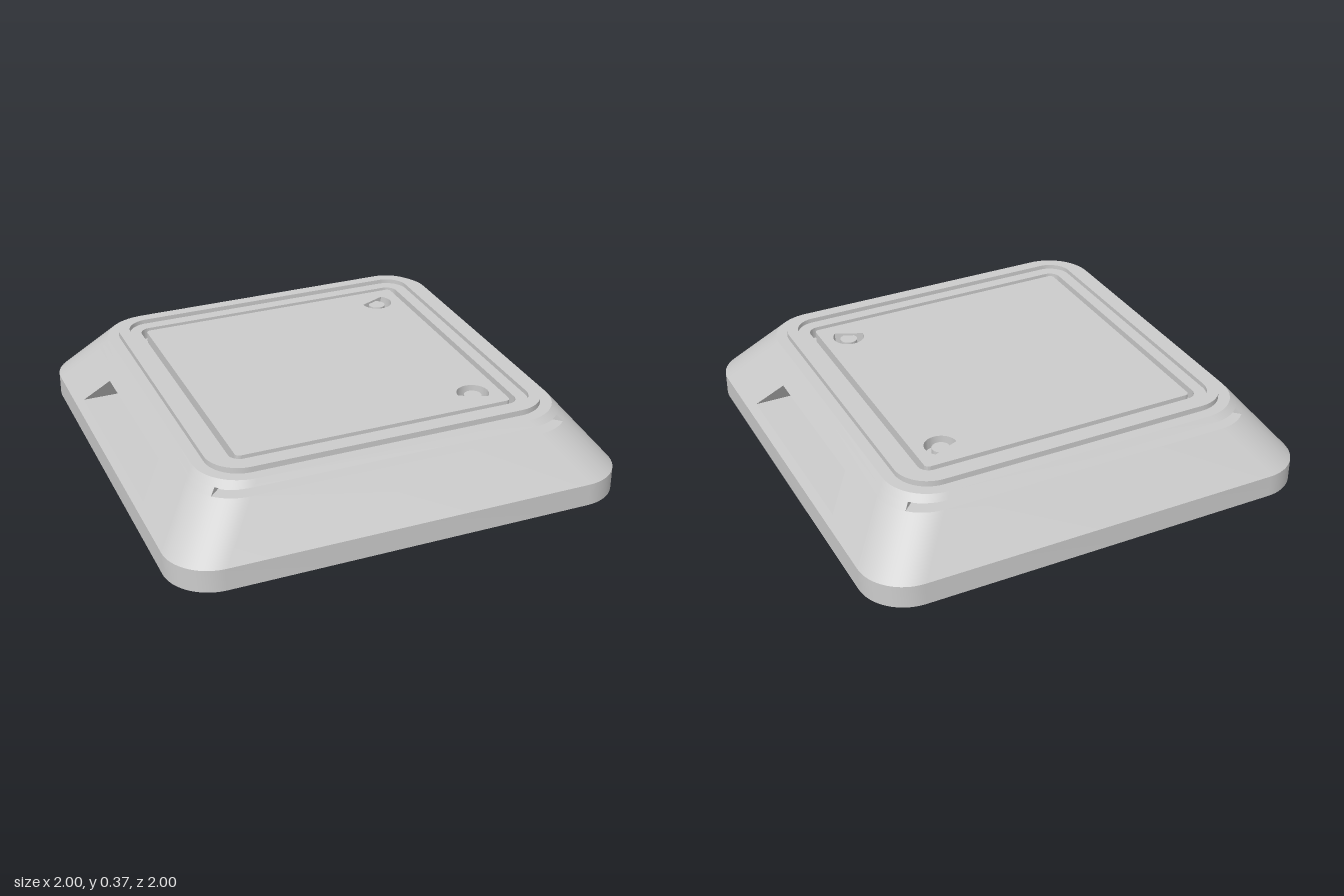
import * as THREE from 'three';
import { toCreasedNormals } from 'three/addons/utils/BufferGeometryUtils.js';

const N = 16;              // segments per rounded corner
const ROW = N + 1;         // points per corner
const COUNT = 4 * ROW;
const material = new THREE.MeshStandardMaterial({ color: 0xcccccc });
const openMaterial = new THREE.MeshStandardMaterial({ color: 0xcccccc, side: THREE.DoubleSide });

// Half width of the sloping side at height y
const slope = (y) => 1 - (y - 0.1) * (0.2 / 0.245);

// Point p on a rounded square with level [half width, corner radius, height]
function point([h, r, y], p) {
  const k = Math.floor((p % COUNT) / ROW);
  const a = (k + ((p % COUNT) % ROW) / N) * Math.PI / 2;
  const sx = k === 0 || k === 3 ? 1 : -1;
  const sz = k < 2 ? 1 : -1;
  return [sx * (h - r) + r * Math.cos(a), y, sz * (h - r) + r * Math.sin(a)];
}

function fromTriangles(positions) {
  const geo = new THREE.BufferGeometry();
  geo.setAttribute('position', new THREE.Float32BufferAttribute(positions, 3));
  return toCreasedNormals(geo, 0.45);
}

const quad = (a, b, c, d) => [...a, ...b, ...c, ...a, ...c, ...d];

// Surface through successive levels, over a range of loop points
function skin(levels, from = 0, to = COUNT, skip = []) {
  const out = [];
  for (let i = 0; i < levels.length - 1; i++) {
    for (let p = from; p < to; p++) {
      if (skip.includes(p)) continue;
      out.push(...quad(point(levels[i], p), point(levels[i + 1], p),
        point(levels[i + 1], p + 1), point(levels[i], p + 1)));
    }
  }
  return fromTriangles(out);
}

export function createModel() {
  const group = new THREE.Group();
  const add = (name, geo, mat = material) => {
    const mesh = new THREE.Mesh(geo, mat);
    mesh.name = name;
    group.add(mesh);
    return mesh;
  };

  const slotLow = 0.295, slotHigh = 0.32;
  const lowEdge = [slope(slotLow), 0.2, slotLow];
  const highEdge = [slope(slotHigh), 0.2, slotHigh];

  // Base and sloping shell; the flat side panels are left out for the windows
  add('base', skin([[0, 0, 0], [1, 0.2, 0], [1, 0.2, 0.1]]));
  add('slopingShell', skin([[1, 0.2, 0.1], lowEdge], 0, COUNT, [2 * ROW - 1, COUNT - 1]));

  // Side panels with a trapezoid window, leaned onto the slope
  const windowPoints = [[-0.47, 0.135], [0.47, 0.135], [0.37, 0.26], [-0.37, 0.26]];
  const c = lowEdge[0] - 0.2;
  const panel = new THREE.Shape([[-0.8, 0.1], [0.8, 0.1], [c, slotLow], [-c, slotLow]]
    .map(([z, y]) => new THREE.Vector2(z, y)));
  panel.holes.push(new THREE.Path(windowPoints.map(([z, y]) => new THREE.Vector2(z, y))));
  for (const side of [1, -1]) {
    const geo = new THREE.ShapeGeometry(panel);
    const pos = geo.attributes.position;
    for (let i = 0; i < pos.count; i++) {
      const z = pos.getX(i), y = pos.getY(i);
      pos.setXYZ(i, slope(y), y, -z);
    }
    geo.computeVertexNormals();
    if (side < 0) geo.rotateY(Math.PI);
    add(side > 0 ? 'leftWindowPanel' : 'rightWindowPanel', geo);
  }

  // Tunnel joining the two windows
  const tunnel = [];
  windowPoints.forEach(([z0, y0], i) => {
    const [z1, y1] = windowPoints[(i + 1) % 4];
    tunnel.push(...quad([-slope(y0), y0, z0], [slope(y0), y0, z0],
      [slope(y1), y1, z1], [-slope(y1), y1, z1]).map((v) => v));
  });
  add('tunnel', fromTriangles(tunnel), openMaterial);

  // Flanged spools standing in the tunnel
  const spool = [[0.112, 0.135], [0.112, 0.175], [0.063, 0.175], [0.063, 0.22], [0.08, 0.22],
    [0.08, 0.227], [0.112, 0.227], [0.112, 0.25], [0.063, 0.25], [0.063, 0.26]]
    .map(([r, y]) => new THREE.Vector2(r, y));
  for (const z of [0.235, -0.235]) {
    const geo = toCreasedNormals(new THREE.LatheGeometry(spool, 32), 0.5);
    add('spool', geo, openMaterial).position.z = z;
  }

  // Band with slots along the front and back, ending halfway round the corners
  const half = N / 2;
  const slot = [lowEdge, [0.78, 0.14, slotLow], [0.76, 0.14, slotHigh], highEdge];
  for (const k of [0, 2]) {
    const start = k * ROW + half, end = start + ROW;
    add(k ? 'backSlot' : 'frontSlot', skin(slot, start, end));
    add('sideBand', skin([lowEdge, highEdge], end, end + ROW));
    for (const p of [start, end]) {
      add('slotEnd', fromTriangles(quad(...slot.map((level) => point(level, p)))), openMaterial);
    }
  }

  // Shoulder, raised rim, inner ledge and groove, down to the recess floor
  add('rim', skin([highEdge, [0.8, 0.2, 0.345], [0.75, 0.15, 0.345], [0.75, 0.15, 0.37],
    [0.7, 0.1, 0.37], [0.7, 0.1, 0.35], [0.647, 0.05, 0.35], [0.647, 0.05, 0.3], [0, 0, 0.3]]));

  // Top plate with two cut-off round holes
  const outline = [];
  for (let p = 0; p < COUNT; p++) {
    const [x, , z] = point([0.62, 0.02, 0], p);
    outline.push(new THREE.Vector2(x, z));
  }
  const plate = new THREE.Shape(outline);
  for (const s of [1, -1]) {
    const hole = [];
    for (let i = 0; i <= 32; i++) {
      const a = THREE.MathUtils.degToRad(179 + 230 * i / 32);
      hole.push(new THREE.Vector2(0.5 + 0.07 * Math.cos(a), s * (0.5 + 0.07 * Math.sin(a))));
    }
    plate.holes.push(new THREE.Path(hole));
  }
  const plateGeo = new THREE.ExtrudeGeometry(plate, { depth: 0.05, bevelEnabled: false });
  plateGeo.rotateX(-Math.PI / 2).translate(0, 0.3, 0);
  add('topPlate', toCreasedNormals(plateGeo, 0.45));

  // Pins inside the holes
  for (const z of [0.5, -0.5]) {
    add('pin', new THREE.CylinderGeometry(0.038, 0.038, 0.04, 32)).position.set(0.5, 0.32, z);
  }
  return group;
}
